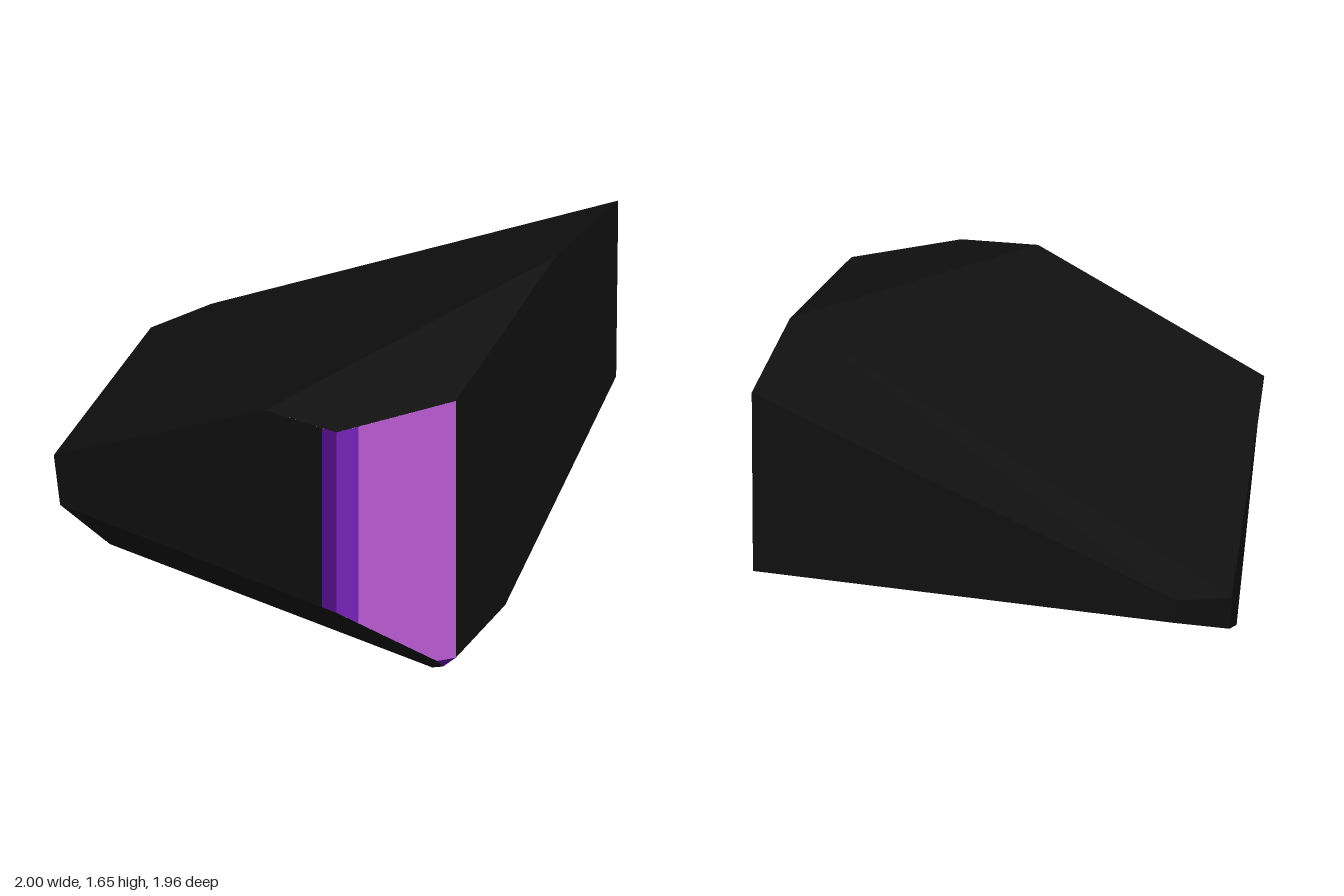
import * as THREE from 'three';

const mat = (name, color) => {
  const m = new THREE.MeshStandardMaterial({ color });
  m.name = name;
  return m;
};

// Flat convex polygon, always facing away from the middle of the solid
const CENTRE = new THREE.Vector3(0.2, 0.8, 0);
function facet(name, material, corners) {
  const p = corners.map((c) => new THREE.Vector3(...c));
  const normal = p[1].clone().sub(p[0]).cross(p[2].clone().sub(p[0]));
  if (normal.dot(p[0].clone().sub(CENTRE)) < 0) p.reverse();
  const points = [];
  for (let i = 1; i < p.length - 1; i++) points.push(p[0], p[i], p[i + 1]);
  const geometry = new THREE.BufferGeometry().setFromPoints(points);
  geometry.computeVertexNormals();
  const mesh = new THREE.Mesh(geometry, material);
  mesh.name = name;
  return mesh;
}

export function createModel() {
  const black = mat('black stone', 0x0f0f0f);
  const dark = mat('dark purple', 0x540e88);
  const mid = mat('violet', 0x7522b4);
  const light = mat('orchid', 0xb85ad0);

  // Corners of the cut stone
  const frontPeak = [0.28, 1.43, 0.98], frontTop = [0.62, 1.41, 0.98], frontLow = [0.62, 0.51, 0.98];
  const leftTop = [-0.72, 0.94, 0.98], leftLow = [-0.69, 0.7, 0.98], leftFoot = [-0.79, 0.1, 0.29];
  const sideTop = [1, 1.46, 0.6], sideLow = [1, 0.18, 0.6], sideFoot = [1, 0.18, 0.12];
  const peak = [1, 1.65, -0.37], backTop = [1, 1.595, -0.98], backLow = [1, 0.73, -0.96];
  const tipTop = [-1, 0.67, -0.54], tipLow = [-0.99, 0.52, -0.54];
  const rearTop = [-0.81, 0.73, -0.74], rearLow = [-0.805, 0.62, -0.738];
  const cornerFront = [0.94, 0.18, 0.66], cornerLow = [0.94, 0.12, 0.6], foot = [0.815, 0, 0.45];

  // Where the colour bands change
  const stripTop = [0.55, 1.414, 0.98], stripLow = [0.55, 0.52, 0.98];
  const bevelTop = [0.69, 1.419, 0.91], bevelLow = [0.69, 0.438, 0.91];
  const bandA = [0.938, 0.12, 0.23], bandB = [0.876, 0.06, 0.525], bandC = [0.877, 0.06, 0.34];

  const group = new THREE.Group();
  group.name = 'cutStone';
  group.add(
    // Black faces
    facet('frontFace', black, [leftTop, leftLow, stripLow, stripTop, frontPeak]),
    facet('topFace', black, [frontPeak, leftTop, tipTop, rearTop, backTop, peak]),
    facet('topBevel', black, [frontPeak, frontTop, sideTop, peak]),
    facet('sideFace', black, [sideTop, sideLow, sideFoot, backLow, backTop, peak]),
    facet('backFace', black, [backTop, backLow, rearLow, rearTop]),
    facet('backBevel', black, [tipTop, tipLow, rearLow, rearTop]),
    facet('endFace', black, [tipTop, tipLow, leftFoot, leftLow, leftTop]),
    facet('bottomFace', black, [foot, leftFoot, tipLow, rearLow, backLow, sideFoot]),
    facet('lowerFrontFace', black, [frontLow, leftLow, leftFoot, foot, cornerLow, cornerFront]),
    // Purple front bevel
    facet('frontDarkStrip', dark, [stripTop, stripLow, frontLow, frontTop]),
    facet('bevelVioletStrip', mid, [frontTop, frontLow, bevelLow, bevelTop]),
    facet('bevelOrchidFace', light, [bevelTop, bevelLow, cornerFront, sideLow, sideTop]),
    // Purple lower corner
    facet('cornerTriangle', dark, [cornerFront, sideLow, cornerLow]),
    facet('cornerDarkBand', dark, [sideLow, cornerLow, bandA, sideFoot]),
    facet('cornerVioletBand', mid, [cornerLow, bandB, bandC, bandA]),
    facet('cornerOrchidTip', light, [bandB, foot, bandC]),
  );
  return group;
}
